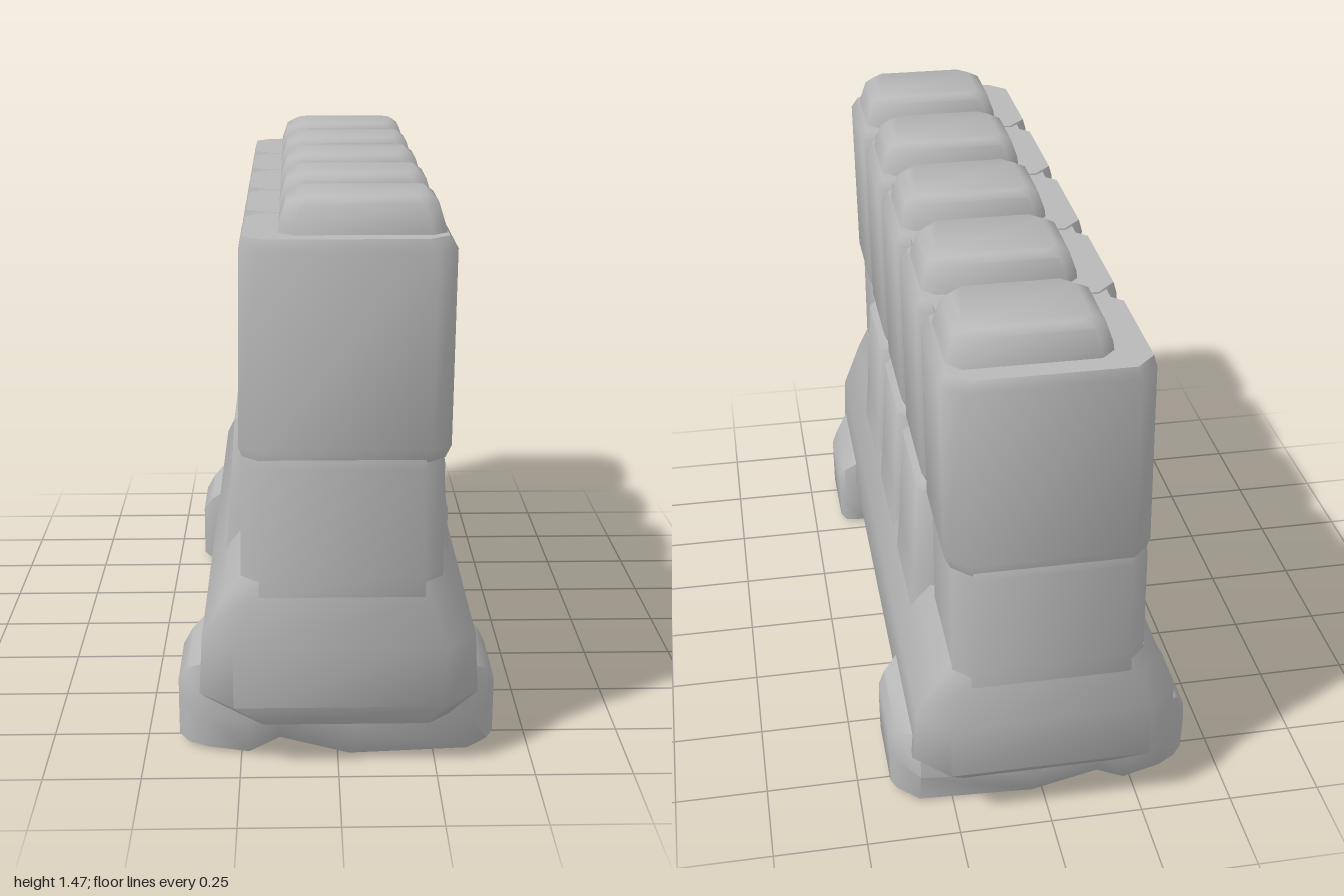
import * as THREE from 'three';
import { toCreasedNormals } from 'three/addons/utils/BufferGeometryUtils.js';

// Skin a closed solid over matching rings of [x, y, z] points
function loft(rings, crease = 0.95) {
  const n = rings[0].length, pos = [], idx = [];
  rings.forEach(r => r.forEach(p => pos.push(...p)));
  for (let k = 0; k < rings.length - 1; k++) {
    for (let i = 0; i < n; i++) {
      const j = (i + 1) % n, a = k * n + i, b = k * n + j;
      idx.push(a, a + n, b, b, a + n, b + n);
    }
  }
  const last = (rings.length - 1) * n;
  for (let i = 1; i < n - 1; i++) {
    idx.push(0, i, i + 1, last, last + i + 1, last + i);
  }
  const g = new THREE.BufferGeometry();
  g.setAttribute('position', new THREE.Float32BufferAttribute(pos, 3));
  g.setIndex(idx);
  return toCreasedNormals(g, crease);
}

// Horizontal rectangle with chamfered corners
function slab(y, x0, x1, z0, z1, c) {
  return [[x1, z0 + c], [x1, z1 - c], [x1 - c, z1], [x0 + c, z1],
    [x0, z1 - c], [x0, z0 + c], [x0 + c, z0], [x1 - c, z0]].map(([x, z]) => [x, y, z]);
}

export function createModel() {
  const group = new THREE.Group();
  const grey = new THREE.MeshStandardMaterial({ color: 0xb8b8b8 });
  grey.name = 'plainGrey';
  const add = (name, rings) => {
    const mesh = new THREE.Mesh(loft(rings), grey);
    mesh.name = name;
    group.add(mesh);
  };

  // Flared base with chamfered corners
  add('base', [
    slab(0.13, -0.27, 0.31, -0.93, 0.96, 0.08),
    slab(0.185, -0.355, 0.36, -0.98, 0.98, 0.09),
    slab(0.35, -0.345, 0.35, -0.99, 0.988, 0.08),
    slab(0.47, -0.285, 0.295, -0.992, 0.996, 0.06),
    slab(0.53, -0.247, 0.262, -0.994, 0.997, 0.05),
  ]);

  // Solid core behind the grooves
  add('core', [
    slab(0.4, -0.21, 0.23, -0.95, 0.95, 0.03),
    slab(1.375, -0.205, 0.24, -0.95, 0.95, 0.03),
  ]);

  for (let i = 0; i < 5; i++) {
    const z = (i - 2) * 0.4, end = i === 0 || i === 4;
    const z0 = z - 0.2, z1 = z + 0.2;

    // Lower pillars: straight at the ends, leaning outward between them
    const spread = end ? 0 : 0.045;
    add('lowerPillar', [
      slab(end ? 0.49 : 0.36, -0.245 - spread * 1.3, 0.26 + spread * 1.3, z0, z1, 0.05),
      slab(0.55, -0.243 - spread * 0.95, 0.26 + spread * 0.95, z0, z1, 0.05),
      slab(0.82, -0.24 - spread * 0.6, 0.26 + spread * 0.6, z0, z1, 0.05),
      slab(0.85, -0.235, 0.255, z0 + 0.005, z1 - 0.005, 0.045),
    ]);

    // Upper blocks, pinched at the seam
    add('upperBlock', [
      slab(0.835, -0.235, 0.26, z0 + 0.005, z1 - 0.005, 0.045),
      slab(0.865, -0.245, 0.275, z0, z1, 0.05),
      slab(1.35, -0.238, 0.282, z0, z1, 0.05),
      slab(1.38, -0.23, 0.262, z0 + 0.005, z1 - 0.005, 0.05),
    ]);

    // Raised caps
    const zc = z * 0.995;
    add('cap', [
      slab(1.37, -0.145, 0.262, zc - 0.145, zc + 0.145, 0.035),
      slab(1.4, -0.142, 0.255, zc - 0.14, zc + 0.14, 0.035),
      slab(1.45, -0.125, 0.24, zc - 0.128, zc + 0.128, 0.035),
      slab(1.468, -0.09, 0.215, zc - 0.115, zc + 0.115, 0.03),
    ]);
  }

  // Feet: crossbars with a shallow arch underneath, skinned along x
  // [x, bottom y, top y, inner z, outer z, bottom taper]
  const stations = [
    [-0.415, 0.025, 0.18, 0.55, 0.8, 0.01],
    [-0.39, 0.01, 0.22, 0.535, 0.82, 0.01],
    [-0.34, 0.01, 0.26, 0.5, 0.88, 0.04],
    [-0.23, 0.01, 0.26, 0.48, 0.93, 0.06],
    [-0.15, 0.055, 0.26, 0.48, 0.93, 0.05],
    [0.03, 0.003, 0.26, 0.48, 0.93, 0.06],
    [0.34, 0.01, 0.26, 0.5, 0.9, 0.04],
    [0.395, 0.012, 0.21, 0.535, 0.82, 0.01],
    [0.412, 0.025, 0.18, 0.55, 0.8, 0.01],
  ];
  for (const s of [1, -1]) {
    add(s > 0 ? 'frontFoot' : 'backFoot', stations.map(([x, b, t, zi, zo, d]) => {
      const ring = [[zi + d, b], [zo - d, b], [zo, b + 0.11],
        [zo - 0.01, t], [zi + 0.01, t], [zi, b + 0.09]].map(([z, y]) => [x, y, z * s]);
      return s > 0 ? ring : ring.reverse();
    }));
  }
  return group;
}
